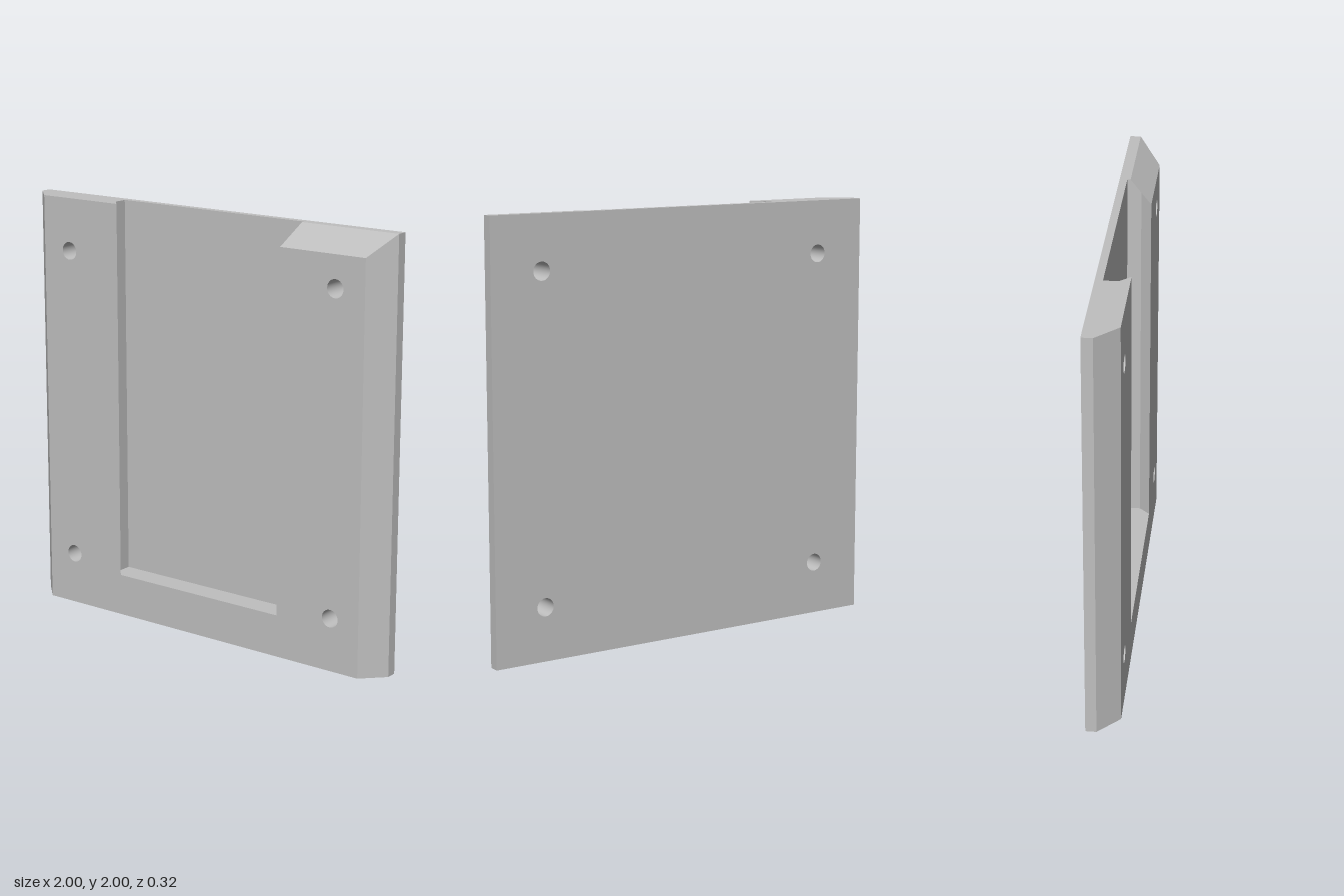
import * as THREE from 'three';

// Overall sizes in the plate's own frame (before its slight turn)
const W = 1.0015, H = 2, CH = 0.1, A = W - CH;      // half width, height, chamfer, half front face
const BACK = -0.0706, FRONT = BACK + 0.15, CUT = FRONT - CH;
const MOUTH = 0.46, POCKET = 0.505, LEDGE = 0.2;    // undercut pocket half widths and ledge height
const FLOOR = BACK + 0.035, LIP = FRONT - 0.05;
const HOLES = [[-0.75, 0.25], [0.75, 0.25], [-0.75, 1.75], [0.75, 1.75]], R = 0.042;

const shapeOf = pts => new THREE.Shape(pts.map(([x, y]) => new THREE.Vector2(x, y)));

// Flat convex face, corners counter-clockwise from outside
function facet(pts) {
  const pos = [];
  for (let i = 1; i < pts.length - 1; i++) pos.push(...pts[0], ...pts[i], ...pts[i + 1]);
  const g = new THREE.BufferGeometry();
  g.setAttribute('position', new THREE.Float32BufferAttribute(pos, 3));
  g.computeVertexNormals();
  return g;
}

// Upright face pierced by the four screw holes
function drilled(pts) {
  const s = shapeOf(pts);
  for (const [x, y] of HOLES) s.holes.push(new THREE.Path().absarc(x, y, R, 0, Math.PI * 2, true));
  return new THREE.ShapeGeometry(s, 16);
}

// Horizontal face from x, z corners
const upFace = (pts, y) =>
  new THREE.ShapeGeometry(shapeOf(pts.map(([x, z]) => [x, -z]))).rotateX(-Math.PI / 2).translate(0, y, 0);
const downFace = (pts, y) =>
  new THREE.ShapeGeometry(shapeOf(pts)).rotateX(Math.PI / 2).translate(0, y, 0);

export function createModel() {
  const grey = new THREE.MeshStandardMaterial({ color: 0xbfbfbf, side: THREE.DoubleSide });
  grey.name = 'plain grey';
  const plate = new THREE.Group();
  plate.name = 'plate';
  const add = (name, geometry) => {
    const mesh = new THREE.Mesh(geometry, grey);
    mesh.name = name;
    plate.add(mesh);
    return mesh;
  };

  // Front and back
  add('frontFace', drilled([
    [-A, 0], [A, 0], [A, H - CH], [MOUTH, H - CH], [MOUTH, LEDGE], [-MOUTH, LEDGE], [-MOUTH, H], [-A, H],
  ]).translate(0, 0, FRONT));
  add('backFace', drilled([[-W, 0], [W, 0], [W, H], [-W, H]]).rotateY(Math.PI).translate(0, 0, BACK));

  // Top and bottom
  add('bottomFace', downFace([[-W, BACK], [W, BACK], [W, CUT], [A, FRONT], [-A, FRONT], [-W, CUT]], 0));
  add('topFace', upFace([
    [-W, BACK], [W, BACK], [W, CUT], [POCKET, CUT], [POCKET, FLOOR], [-POCKET, FLOOR],
    [-POCKET, LIP], [-MOUTH, FRONT], [-A, FRONT], [-W, CUT],
  ], H));

  // Ends and chamfers
  add('rightEnd', facet([[-W, 0, BACK], [-W, 0, CUT], [-W, H, CUT], [-W, H, BACK]]));
  add('leftEnd', facet([[W, 0, CUT], [W, 0, BACK], [W, H, BACK], [W, H, CUT]]));
  add('rightChamfer', facet([[-W, 0, CUT], [-A, 0, FRONT], [-A, H, FRONT], [-W, H, CUT]]));
  add('leftChamfer', facet([[A, 0, FRONT], [W, 0, CUT], [W, H, CUT], [A, H - CH, FRONT]]));
  add('topChamfer', facet([
    [MOUTH, H - CH, FRONT], [A, H - CH, FRONT], [W, H, CUT], [POCKET, H, CUT], [POCKET, H - 0.05, LIP],
  ]));

  // Undercut pocket, open at the top
  add('pocketFloor', facet([[-POCKET, LEDGE, FLOOR], [POCKET, LEDGE, FLOOR], [POCKET, H, FLOOR], [-POCKET, H, FLOOR]]));
  add('pocketLedge', upFace([
    [-POCKET, FLOOR], [POCKET, FLOOR], [POCKET, LIP], [MOUTH, FRONT], [-MOUTH, FRONT], [-POCKET, LIP],
  ], LEDGE));
  add('pocketRightWall', facet([[-POCKET, LEDGE, LIP], [-POCKET, LEDGE, FLOOR], [-POCKET, H, FLOOR], [-POCKET, H, LIP]]));
  add('pocketRightUndercut', facet([[-MOUTH, LEDGE, FRONT], [-POCKET, LEDGE, LIP], [-POCKET, H, LIP], [-MOUTH, H, FRONT]]));
  add('pocketLeftWall', facet([
    [POCKET, LEDGE, FLOOR], [POCKET, LEDGE, LIP], [POCKET, H - 0.05, LIP], [POCKET, H, CUT], [POCKET, H, FLOOR],
  ]));
  add('pocketLeftUndercut', facet([
    [POCKET, LEDGE, LIP], [MOUTH, LEDGE, FRONT], [MOUTH, H - CH, FRONT], [POCKET, H - 0.05, LIP],
  ]));

  // Screw hole linings
  for (const [x, y] of HOLES) {
    add('screwHole', new THREE.CylinderGeometry(R, R, FRONT - BACK, 32, 1, true).rotateX(Math.PI / 2))
      .position.set(x, y, (FRONT + BACK) / 2);
  }

  // Slight turn about the upright axis
  plate.rotation.y = -THREE.MathUtils.degToRad(5);
  plate.position.x = -0.004;
  const model = new THREE.Group();
  model.name = 'mountingPlate';
  model.add(plate);
  return model;
}
